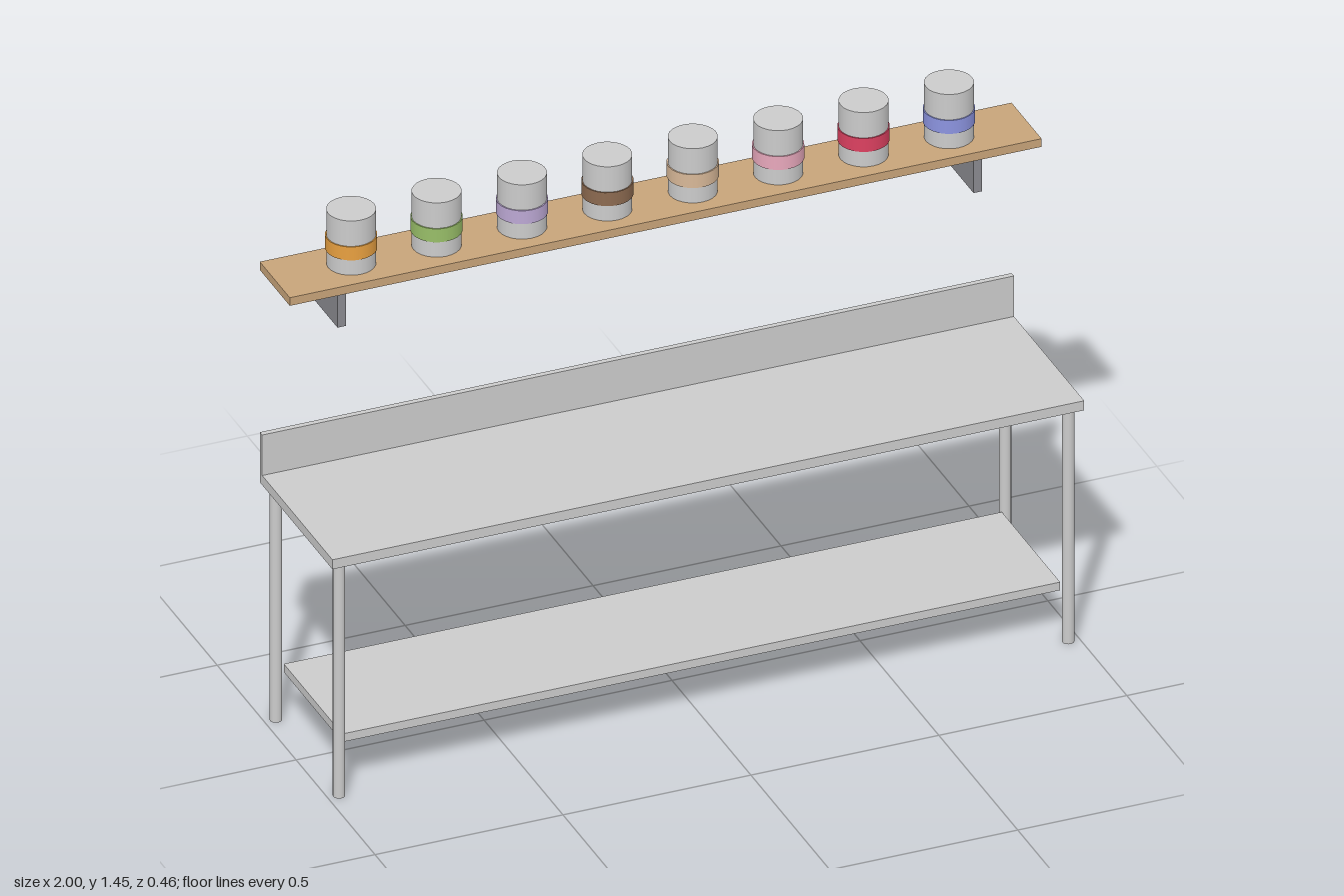
import * as THREE from 'three';

const material = (color) => new THREE.MeshStandardMaterial({ color });

export function createModel() {
  const model = new THREE.Group();
  const steel = material(0xcccccc);
  const wood = material(0xc8a47a);
  const bracketMetal = material(0x8a8a90);

  const add = (name, geometry, mat, x, y, z, parent = model) => {
    const mesh = new THREE.Mesh(geometry, mat);
    mesh.name = name;
    mesh.position.set(x, y, z);
    parent.add(mesh);
    return mesh;
  };
  // Box given by its x, y and z ranges
  const box = (name, mat, [x0, x1], [y0, y1], [z0, z1], parent) =>
    add(name, new THREE.BoxGeometry(x1 - x0, y1 - y0, z1 - z0), mat,
      (x0 + x1) / 2, (y0 + y1) / 2, (z0 + z1) / 2, parent);

  // Work table with upstand and lower shelf
  const table = new THREE.Group();
  table.name = 'workTable';
  model.add(table);
  box('tableTop', steel, [-1, 1], [0.665, 0.692], [-0.23, 0.23], table);
  box('backsplash', steel, [-1, 1], [0.692, 0.807], [-0.23, -0.215], table);
  box('lowerShelf', steel, [-0.955, 0.955], [0.14, 0.163], [-0.185, 0.185], table);
  const legGeometry = new THREE.CylinderGeometry(0.0153, 0.0153, 0.665, 16);
  for (const x of [-0.97, 0.97])
    for (const z of [-0.2, 0.2]) add('leg', legGeometry, steel, x, 0.3325, z, table);

  // Wall shelf on two brackets
  const shelf = new THREE.Group();
  shelf.name = 'wallShelf';
  model.add(shelf);
  box('shelfBoard', wood, [-1, 1], [1.268, 1.291], [-0.23, -0.04], shelf);
  for (const x of [-0.846, 0.846])
    box('shelfBracket', bracketMetal, [x - 0.0115, x + 0.0115], [1.154, 1.268], [-0.23, -0.077], shelf);

  // Row of cans, each with a coloured band
  const canGeometry = new THREE.CylinderGeometry(0.0615, 0.0615, 0.154, 24);
  const bandGeometry = new THREE.CylinderGeometry(0.0645, 0.0645, 0.038, 24);
  const bandColors = [0xe8a040, 0x98be68, 0xbca8d4, 0x8c6a50, 0xd8b898, 0xe8a8bc, 0xdc4060, 0x8c94e0];
  bandColors.forEach((color, i) => {
    const can = new THREE.Group();
    can.name = 'can';
    can.position.set((i - 3.5) * 0.2272, 1.291, -0.139);
    shelf.add(can);
    add('canBody', canGeometry, steel, 0, 0.077, 0, can);
    add('canBand', bandGeometry, material(color), 0, 0.063, 0, can);
  });

  return model;
}
